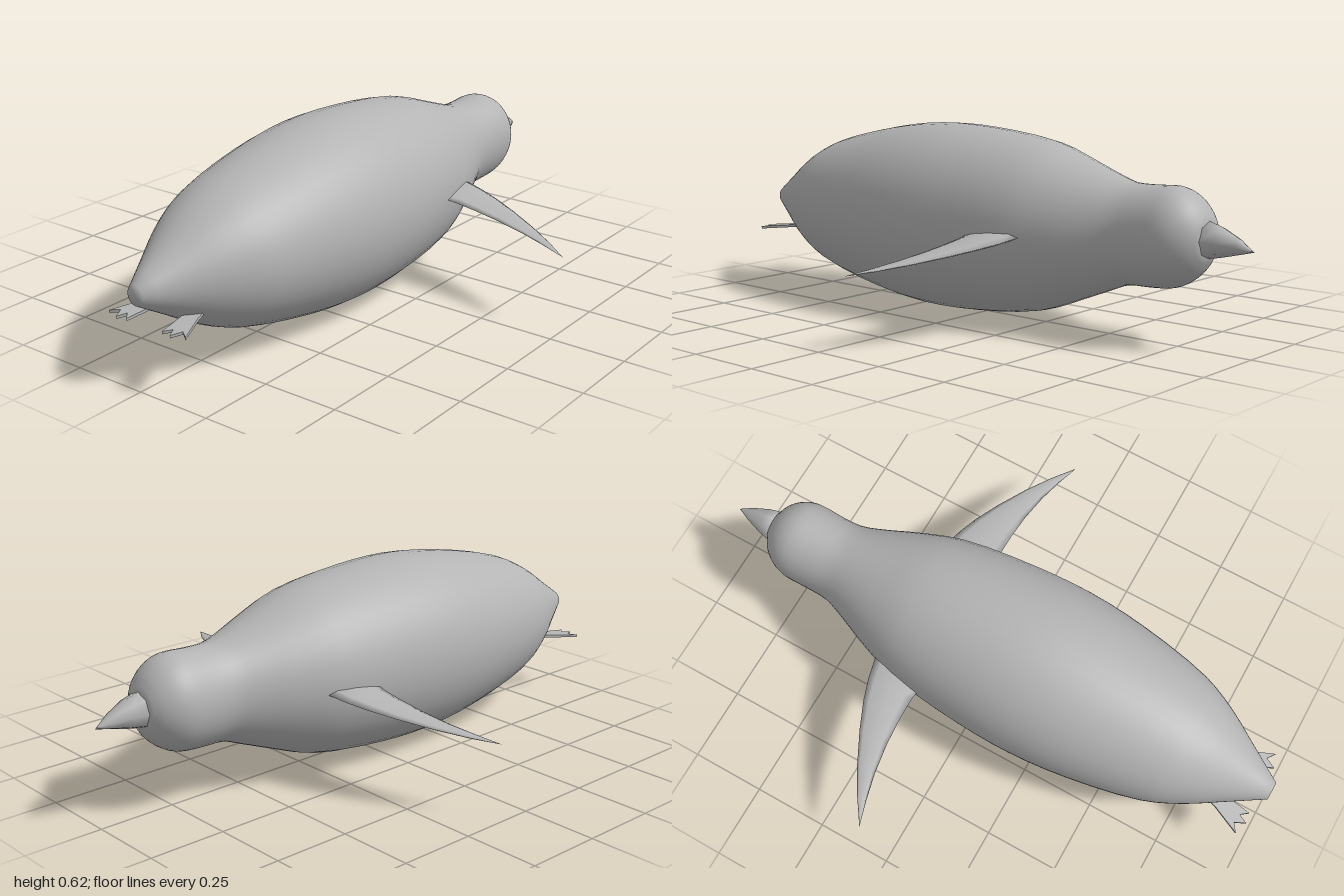
import * as THREE from 'three';

const plumage = new THREE.MeshStandardMaterial({ color: 0xb4b4b4 });
plumage.name = 'plumage grey';

// Skin a list of closed rings of [x, y, z] points
function loft(rings, flip = false) {
  const n = rings[0].length, index = [];
  for (let i = 0; i < rings.length - 1; i++) {
    for (let j = 0; j < n; j++) {
      const k = (j + 1) % n;
      const a = i * n + j, b = i * n + k, c = (i + 1) * n + k, d = (i + 1) * n + j;
      if (flip) index.push(a, d, b, b, d, c);
      else index.push(a, b, d, b, c, d);
    }
  }
  const g = new THREE.BufferGeometry();
  g.setAttribute('position', new THREE.Float32BufferAttribute(rings.flat(2), 3));
  g.setIndex(index);
  g.computeVertexNormals();
  return g;
}

// Upright ellipse across the x axis
function ellipseX(x, y, ry, rz, n) {
  return Array.from({ length: n }, (_, j) => {
    const a = (j / n) * Math.PI * 2;
    return [x, y + ry * Math.cos(a), rz * Math.sin(a)];
  });
}

function add(group, name, geometry) {
  const mesh = new THREE.Mesh(geometry, plumage);
  mesh.name = name;
  group.add(mesh);
}

// Body and head: x, top y, bottom y, half width
function bodyGeometry() {
  const rows = [
    [-1, 0.335, 0.272, 0.03], [-0.88, 0.412, 0.2, 0.105], [-0.77, 0.482, 0.135, 0.172],
    [-0.65, 0.536, 0.085, 0.225], [-0.4, 0.595, 0.03, 0.275], [-0.2, 0.62, 0.008, 0.292],
    [0, 0.617, 0.012, 0.286], [0.25, 0.588, 0.045, 0.255], [0.4, 0.54, 0.1, 0.205],
    [0.5, 0.506, 0.14, 0.163], [0.58, 0.484, 0.17, 0.135], [0.66, 0.483, 0.174, 0.131],
    [0.74, 0.486, 0.182, 0.132], [0.785, 0.471, 0.202, 0.12], [0.825, 0.437, 0.237, 0.092],
    [0.85, 0.395, 0.28, 0.058],
  ];
  const edge = (k) => new THREE.CatmullRomCurve3(rows.map((r) => new THREE.Vector3(r[0], r[k], r[3])));
  const top = edge(1), bottom = edge(2), steps = (rows.length - 1) * 3;
  const rings = [ellipseX(-1.0, 0.303, 0, 0, 40)];
  for (let i = 0; i <= steps; i++) {
    const p = top.getPoint(i / steps), q = bottom.getPoint(i / steps);
    rings.push(ellipseX((p.x + q.x) / 2, (p.y + q.y) / 2, (p.y - q.y) / 2, (p.z + q.z) / 2, 40));
  }
  rings.push(ellipseX(0.86, 0.337, 0, 0, 40));
  return loft(rings);
}

// Beak: eight-sided cone with a slight droop
function beakGeometry() {
  const rows = [[0.84, 0.338, 0], [0.84, 0.338, 0.058], [0.89, 0.336, 0.046], [0.95, 0.329, 0.024], [1, 0.318, 0]];
  return loft(rows.map(([x, y, r]) => ellipseX(x, y, r, r, 8)));
}

// Flipper: thin swept blade; z, leading x, trailing x, half thickness
function flipperGeometry(side) {
  const rows = [
    [0.23, 0.235, 0.235, 0], [0.23, 0.325, 0.14, 0.013], [0.3, 0.31, 0.15, 0.012],
    [0.37, 0.288, 0.151, 0.01], [0.46, 0.25, 0.147, 0.008], [0.56, 0.2, 0.134, 0.006],
    [0.65, 0.147, 0.114, 0.004], [0.73, 0.092, 0.092, 0],
  ];
  const rings = rows.map(([z, lead, trail, t]) => Array.from({ length: 8 }, (_, j) => {
    const a = (j / 8) * Math.PI * 2;
    const x = (lead + trail) / 2 + ((lead - trail) / 2) * Math.cos(a);
    return [x, 0.315 - 0.15 * (z - 0.23) + t * Math.sin(a) * (1 + 0.4 * Math.cos(a)), z * side];
  }));
  return loft(rings, side < 0);
}

// Webbed foot: flat plate with three toes
function footGeometry(side) {
  const outline = [
    [-0.8, 0.045], [-0.8, 0.085], [-0.87, 0.108], [-0.965, 0.15], [-0.945, 0.122],
    [-0.98, 0.105], [-0.95, 0.09], [-0.975, 0.07], [-0.92, 0.062],
  ];
  const shape = new THREE.Shape(outline.map(([x, z]) => new THREE.Vector2(x + 0.8, z * side)));
  const g = new THREE.ExtrudeGeometry(shape, { depth: 0.009, bevelEnabled: false });
  g.rotateX(Math.PI / 2);
  g.rotateZ(0.1);
  g.translate(-0.8, 0.223, 0);
  return g;
}

export function createModel() {
  const bird = new THREE.Group();
  bird.name = 'swimmingBird';
  add(bird, 'body', bodyGeometry());
  add(bird, 'beak', beakGeometry());
  for (const side of [1, -1]) {
    const label = side > 0 ? 'Near' : 'Far';
    add(bird, 'flipper' + label, flipperGeometry(side));
    add(bird, 'foot' + label, footGeometry(side));
  }
  return bird;
}
